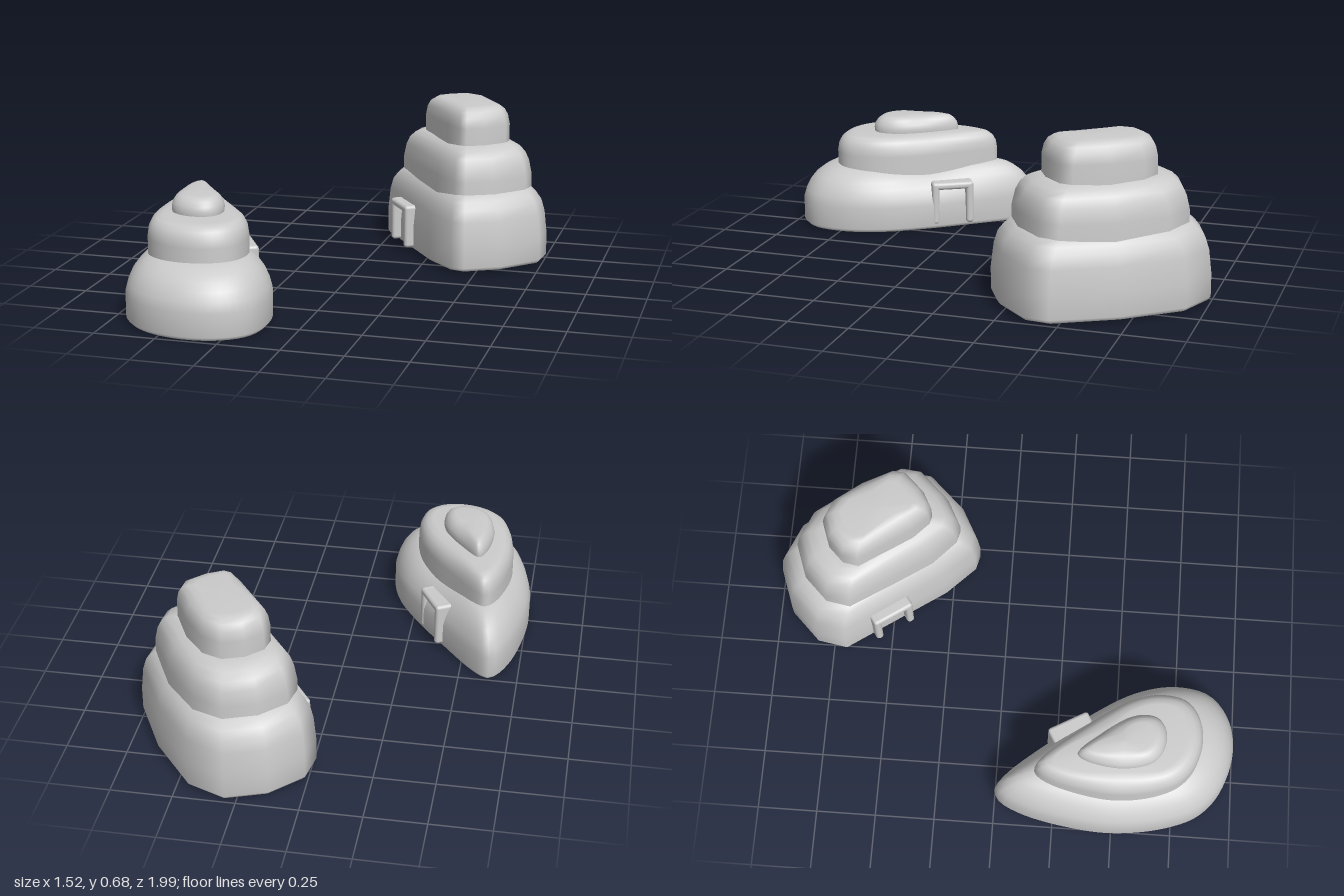
import * as THREE from 'three';
import { RoundedBoxGeometry } from 'three/addons/geometries/RoundedBoxGeometry.js';

const material = new THREE.MeshStandardMaterial({ color: 0xcccccc });
const CENTRE = 9; // an inset this large collapses the ring to the middle

// One storey: an outline scaled about its middle, stacked along [height, inset] pairs
function tier(name, outline, [cx, cz], scale, profile) {
  const n = outline.length;
  const positions = [];
  const index = [];
  profile.forEach(([y, inset], i) => {
    outline.forEach(([x, z], j) => {
      const dx = (x - cx) * scale, dz = (z - cz) * scale;
      const r = Math.hypot(dx, dz);
      const k = Math.max(0, r - inset) / r;
      positions.push(cx + dx * k, y, cz + dz * k);
      if (i === profile.length - 1) return;
      const a = i * n + j, b = i * n + (j + 1) % n;
      index.push(a, a + n, b, b, a + n, b + n);
    });
  });
  const geometry = new THREE.BufferGeometry();
  geometry.setAttribute('position', new THREE.Float32BufferAttribute(positions, 3));
  geometry.setIndex(index);
  geometry.computeVertexNormals();
  const mesh = new THREE.Mesh(geometry, material);
  mesh.name = name;
  return mesh;
}

// Door frame of two posts and a lintel, facing along the given outward direction
function doorFrame(name, x, z, nx, nz) {
  const frame = new THREE.Group();
  frame.name = name;
  const add = (part, w, h, d, px, py) => {
    const mesh = new THREE.Mesh(new RoundedBoxGeometry(w, h, d, 3, 0.014), material);
    mesh.name = part;
    mesh.position.set(px, py, 0);
    frame.add(mesh);
  };
  for (const side of [-1, 1]) add('doorPost', 0.033, 0.19, 0.08, side * 0.077, 0.115);
  add('doorLintel', 0.187, 0.032, 0.08, 0, 0.193);
  frame.position.set(x, 0, z);
  frame.rotation.y = Math.atan2(nx, nz);
  return frame;
}

export function createModel() {
  const model = new THREE.Group();
  model.name = 'tieredBuildings';

  // Teardrop building
  const dropCentre = [-0.488, 0.52];
  const dropPoints = [
    [-0.627, 0], [-0.575, 0.03], [-0.405, 0.22], [-0.267, 0.397], [-0.167, 0.566],
    [-0.126, 0.74], [-0.155, 0.89], [-0.25, 0.97], [-0.39, 0.995], [-0.55, 0.955],
    [-0.66, 0.865], [-0.725, 0.72], [-0.76, 0.5], [-0.745, 0.3], [-0.705, 0.12], [-0.66, 0.025],
  ];
  const curve = new THREE.CatmullRomCurve3(dropPoints.map(([x, z]) => new THREE.Vector3(x, 0, z)), true);
  const drop = curve.getSpacedPoints(80).slice(0, 80).map((p) => [p.x, p.z]);
  const dropBuilding = new THREE.Group();
  dropBuilding.name = 'teardropBuilding';
  dropBuilding.add(
    tier('teardropBase', drop, dropCentre, 1, [
      [0, CENTRE], [0, 0.015], [0, 0.015], [0.015, 0], [0.11, 0], [0.15, 0.012], [0.185, 0.03],
      [0.215, 0.055], [0.237, 0.085], [0.255, 0.12], [0.265, 0.16], [0.27, 0.2], [0.27, CENTRE]]),
    tier('teardropMiddle', drop, dropCentre, 0.69, [
      [0.15, 0], [0.32, 0], [0.355, 0.006], [0.38, 0.02], [0.396, 0.042], [0.404, 0.075], [0.406, CENTRE]]),
    tier('teardropTop', drop, dropCentre, 0.362, [
      [0.38, 0.004], [0.405, 0.002], [0.42, 0], [0.44, 0.005], [0.458, 0.018], [0.47, 0.036],
      [0.475, 0.06], [0.476, CENTRE]]),
    doorFrame('teardropDoor', -0.367, 0.305, 0.87, -0.49),
  );

  // Oblong building with a twelve-sided plan
  const blockCentre = [0.38, -0.55];
  const block = [
    [0.293, -1], [0.452, -0.937], [0.627, -0.72], [0.756, -0.47], [0.743, -0.365], [0.6, -0.217],
    [0.458, -0.143], [0.394, -0.159], [0.272, -0.28], [-0.014, -0.693], [0.008, -0.82], [0.13, -0.942],
  ];
  const blockBuilding = new THREE.Group();
  blockBuilding.name = 'oblongBuilding';
  blockBuilding.add(
    tier('oblongBase', block, blockCentre, 1, [
      [0, CENTRE], [0.01, 0.012], [0.01, 0.012], [0.025, 0], [0.12, 0], [0.22, 0.012], [0.27, 0.028],
      [0.3, 0.052], [0.325, 0.08], [0.34, 0.12], [0.345, 0.16], [0.345, CENTRE]]),
    tier('oblongMiddle', block, blockCentre, 0.8, [
      [0.25, 0], [0.38, 0], [0.44, 0.014], [0.475, 0.032], [0.5, 0.06], [0.514, 0.1], [0.52, 0.14],
      [0.52, CENTRE]]),
    tier('oblongTop', block, blockCentre, 0.52, [
      [0.47, 0], [0.59, 0], [0.63, 0.009], [0.655, 0.025], [0.67, 0.05], [0.675, 0.08], [0.676, CENTRE]]),
    doorFrame('oblongDoor', 0.116, -0.507, -0.823, 0.568),
  );

  model.add(dropBuilding, blockBuilding);
  return model;
}
